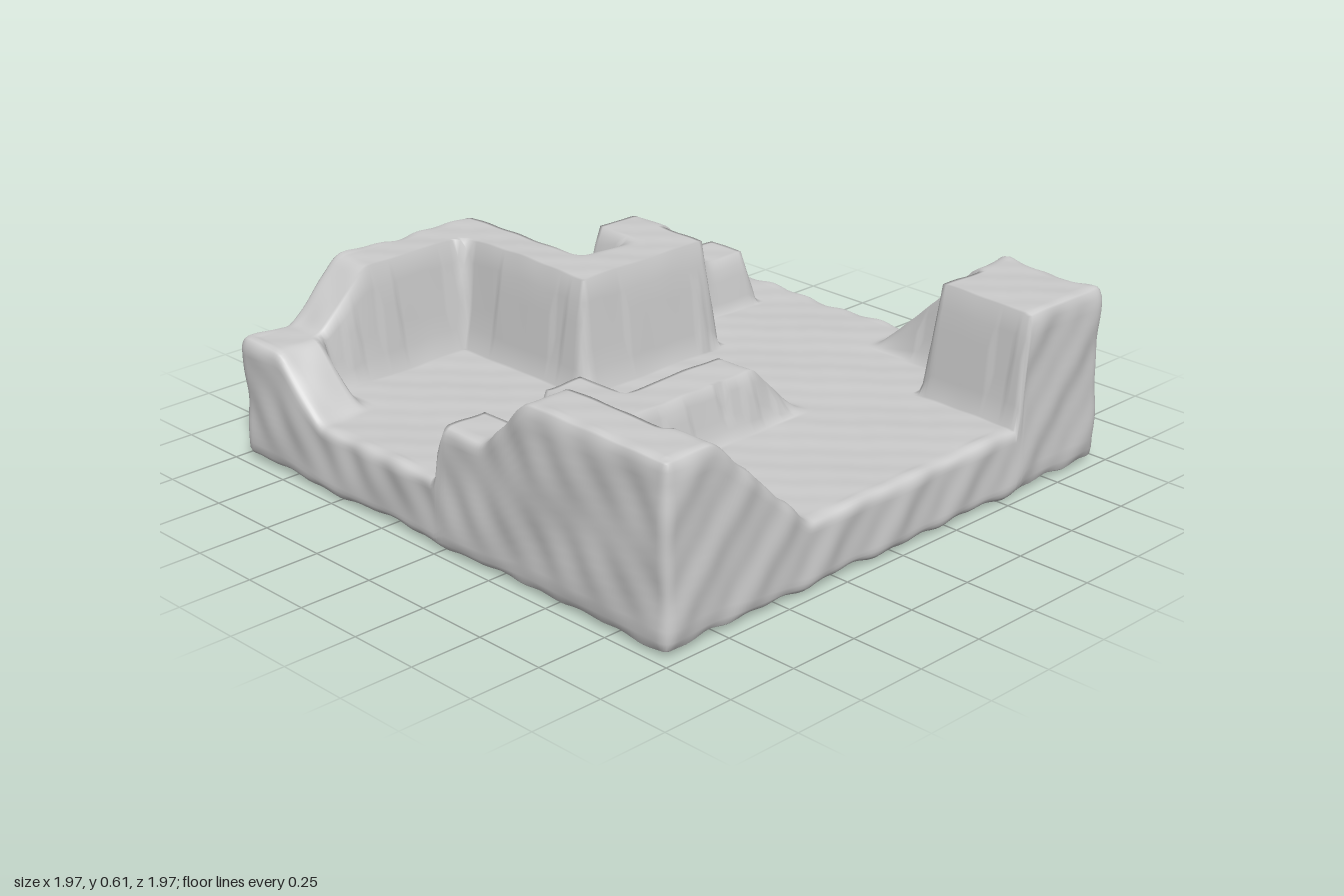
import * as THREE from 'three';
import { mergeVertices } from 'three/addons/utils/BufferGeometryUtils.js';

const CELL = 0.195;           // the tile is a 10 x 10 board of cells
const HALF = 5 * CELL;
const ROUND = 0.032;          // softened outer edges
const FLOOR = 0.232, STEP = 0.186;

// Each block covers cells x0..x1, z0..z1; its height runs from level a to level b along the axis.
const block = (x0, x1, z0, z1, a, b = a, axis = 'x') => ({ x0, x1, z0, z1, a, b, axis });
const blocks = [
  // front right corner wall
  block(5, 6, 9, 10, 1),
  block(6, 7, 9, 10, 1, 2),
  block(7, 10, 9, 10, 2),
  block(9, 10, 7, 9, 0, 2, 'z'),
  // back right corner wall
  block(8, 10, 0, 2, 2),
  block(6, 8, 0, 1, 0, 2),
  // low L-shaped ridge in the middle
  block(6, 7, 5, 8, 1),
  block(6, 7, 4, 5, 0, 1, 'z'),
  block(5, 6, 7, 8, 1),
  // tall left plateau with its arm to the front edge
  block(0, 4, 5, 6, 2),
  block(0, 1, 5, 8, 2),
  block(0, 1, 8, 9, 2, 1, 'z'),
  block(0, 1, 9, 10, 1),
  block(1, 2, 9, 10, 1, 0),
  // plateau extension, stepped ridge and ramp behind it
  block(3, 4, 3, 6, 2),
  block(2, 3, 3, 4, 2),
  block(2, 3, 2, 3, 1, 2, 'z'),
  block(2, 3, 1, 2, 1),
  block(1, 3, 4, 5, 0, 2),
];

// Smooth lumpy noise, roughly -1..1
function lumps(x, y, z, s) {
  return (Math.sin(9 * x + 5 * z + s) * Math.cos(8 * z - 4 * y + 2 * s)
    + Math.sin(21 * z - 13 * x + 17 * y + 3 * s) * 0.6
    + Math.sin(37 * x + 23 * y + 5 * s) * Math.cos(41 * z + 11 * y + s) * 0.6) / 1.8;
}

// Sharp height of the board
function level(x, z) {
  const u = THREE.MathUtils.clamp(x / CELL + 5, 0, 10);
  const w = THREE.MathUtils.clamp(z / CELL + 5, 0, 10);
  let h = 0;
  for (const b of blocks) {
    if (u < b.x0 || u > b.x1 || w < b.z0 || w > b.z1) continue;
    const t = b.axis === 'x' ? (u - b.x0) / (b.x1 - b.x0) : (w - b.z0) / (b.z1 - b.z0);
    h = Math.max(h, b.a + (b.b - b.a) * t);
  }
  return FLOOR + STEP * h;
}

// Height averaged over a small patch, which rounds rims and fillets wall feet
function height(x, z) {
  const wx = x + 0.005 * lumps(x, 0, z, 1), wz = z + 0.005 * lumps(x, 0, z, 4);
  let sum = 0;
  for (let i = -2; i <= 2; i++) {
    for (let j = -2; j <= 2; j++) sum += level(wx + i * 0.009, wz + j * 0.009);
  }
  return sum / 25;
}

// Closed box skin whose top follows the board, with rounded edges and a rough stone surface
function tileGeometry() {
  let geo = new THREE.BoxGeometry(2, 1, 2, 150, 16, 150);
  geo.deleteAttribute('normal');
  geo.deleteAttribute('uv');
  geo = mergeVertices(geo, 1e-4);
  const pos = geo.attributes.position;
  const p = new THREE.Vector3(), core = new THREE.Vector3(), d = new THREE.Vector3();
  const clamp = THREE.MathUtils.clamp, inner = HALF - ROUND;
  for (let i = 0; i < pos.count; i++) {
    p.fromBufferAttribute(pos, i);
    const x = p.x * HALF, z = p.z * HALF;
    const h = height(x, z);
    p.set(x, 0.012 + (p.y + 0.5) * (h - 0.012), z);
    core.set(clamp(x, -inner, inner), clamp(p.y, 0.012 + ROUND, h - ROUND), clamp(z, -inner, inner));
    d.subVectors(p, core).normalize();
    p.copy(core).addScaledVector(d, ROUND);
    // roughness, stronger near the outer sides
    const rim = Math.max(Math.abs(x), Math.abs(z)) > inner ? 0.011 : 0.005;
    p.addScaledVector(d, rim * lumps(p.x, p.y, p.z, 2));
    pos.setXYZ(i, p.x, Math.max(p.y, 0), p.z);
  }
  geo.computeVertexNormals();
  return geo;
}

export function createModel() {
  const model = new THREE.Group();
  model.name = 'terrainTile';
  const tile = new THREE.Mesh(tileGeometry(), new THREE.MeshStandardMaterial({ color: 0xcccccc }));
  tile.name = 'steppedStoneTile';
  model.add(tile);
  return model;
}
